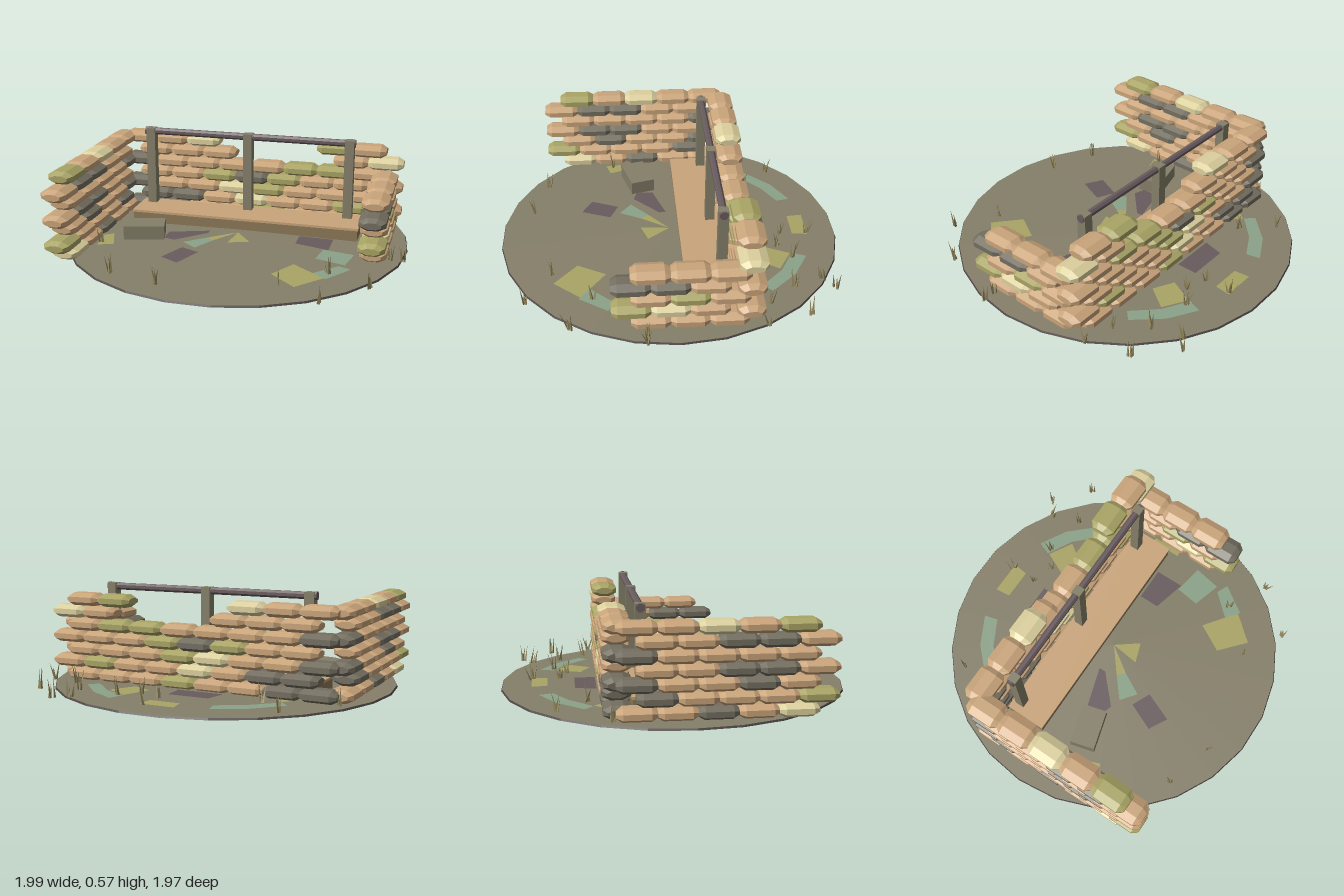
import * as THREE from 'three';

const mat = (name, color, opts = {}) =>
  Object.assign(new THREE.MeshStandardMaterial({ color, flatShading: true, ...opts }), { name });

export function createModel() {
  const M = {
    tan: mat('tan burlap', 0xc9a47a),
    cream: mat('cream burlap', 0xdcd09e),
    olive: mat('olive', 0xa9a465),
    dark: mat('dark grey burlap', 0x736e60),
    earth: mat('earth and weathered wood', 0x857f69),
    base: mat('dark soil', 0x4e4646),
    sage: mat('sage', 0x8ba288),
    plum: mat('plum brown', 0x685b5e),
    grass: mat('dry grass', 0x968a60, { side: THREE.DoubleSide }),
    plank: mat('brown plank', 0x8c7856),
  };
  const group = new THREE.Group();
  const add = (name, geo, material, x = 0, y = 0, z = 0, parent = group) => {
    const m = new THREE.Mesh(geo, material);
    m.name = name;
    m.position.set(x, y, z);
    parent.add(m);
    return m;
  };
  const sub = (name) => {
    const g = new THREE.Group();
    g.name = name;
    group.add(g);
    return g;
  };
  let seed = 7;
  const rnd = () => (seed = (seed * 16807) % 2147483647) / 2147483647 - 0.5;

  // Ground disc: dark slab with a very low dome of earth on top
  add('groundSlab', new THREE.CylinderGeometry(0.985, 0.99, 0.01, 26, 1, false, Math.PI / 2), M.base, -0.01, 0.005, 0);
  add('groundTop', new THREE.ConeGeometry(0.985, 0.013, 26, 1, true, Math.PI / 2), M.earth, -0.01, 0.0165, 0);

  // Coloured ground patches, outlines as x, z pairs
  const patches = sub('groundPatches');
  const patch = (material, ...p) => {
    const pts = [];
    for (let i = 0; i < p.length; i += 2) pts.push(new THREE.Vector2(p[i], -p[i + 1]));
    const geo = new THREE.ShapeGeometry(new THREE.Shape(pts)).rotateX(-Math.PI / 2);
    const a = geo.attributes.position;
    for (let i = 0; i < a.count; i++) a.setY(i, 0.0255 - 0.0132 * Math.hypot(a.getX(i) + 0.01, a.getZ(i)));
    geo.computeVertexNormals();
    add('groundPatch', geo, material, 0, 0, 0, patches);
  };
  patch(M.olive, -0.11, -0.815, 0.09, -0.815, 0.08, -0.725, -0.1, -0.725);
  patch(M.olive, 0.27, -0.68, 0.41, -0.6, 0.32, -0.47, 0.2, -0.53);
  patch(M.olive, -0.55, -0.48, -0.6, -0.42, -0.5, -0.42);
  patch(M.olive, -0.72, 0.18, -0.66, 0.34, -0.75, 0.37, -0.77, 0.21);
  patch(M.olive, -0.01, 0, -0.16, 0.12, -0.12, 0.16);
  patch(M.olive, -0.01, 0, -0.03, 0.17, 0.09, 0.13);
  patch(M.olive, 0.4, 0.38, 0.59, 0.52, 0.46, 0.67, 0.31, 0.54);
  patch(M.olive, 0.71, -0.18, 0.74, -0.18, 0.74, 0, 0.71, 0);
  patch(M.sage, -0.61, -0.53, -0.46, -0.68, -0.29, -0.77, -0.27, -0.69, -0.42, -0.61, -0.56, -0.48);
  patch(M.sage, 0.6, -0.53, 0.46, -0.68, 0.3, -0.77, 0.27, -0.69, 0.42, -0.61, 0.55, -0.48);
  patch(M.sage, -0.16, 0.12, -0.12, 0.16, -0.19, 0.29, -0.28, 0.22);
  patch(M.sage, 0.52, 0.13, 0.7, 0.16, 0.67, 0.32, 0.5, 0.27);
  patch(M.sage, 0.64, 0.34, 0.71, 0.37, 0.6, 0.53, 0.52, 0.47);
  patch(M.plum, -0.18, -0.57, 0.06, -0.57, 0.06, -0.45, -0.21, -0.45);
  patch(M.plum, -0.41, 0.08, -0.18, 0.01, -0.18, 0.05, -0.34, 0.2, -0.41, 0.18);
  patch(M.plum, -0.26, 0.3, -0.15, 0.35, -0.22, 0.52, -0.33, 0.46);
  patch(M.plum, 0.35, -0.04, 0.55, -0.04, 0.55, 0.13, 0.35, 0.08);

  // Sandbag: an octagonal bar along x whose end rings are pinched
  const bag = new THREE.CylinderGeometry(1, 1, 1, 8, 3).rotateY(Math.PI / 8).rotateZ(Math.PI / 2);
  const bp = bag.attributes.position;
  for (let i = 0; i < bp.count; i++) {
    const x = bp.getX(i), end = Math.abs(x) > 0.4;
    bp.setXYZ(i,
      Math.sign(x) * (end ? 0.105 : 0.072),
      bp.getY(i) * 0.039 * (end ? 0.5 : 1),
      bp.getZ(i) * 0.08 * (end ? 0.66 : 1));
  }
  bag.computeVertexNormals();

  // Walls: one string per course from the bottom up, '-' leaves a gap
  const kinds = { t: M.tan, c: M.cream, o: M.olive, d: M.dark };
  const PITCH = 0.204;
  const wall = (name, rows, start, place, turn) => {
    const g = sub(name);
    rows.forEach((row, r) => [...row].forEach((k, i) => {
      if (k === '-') return;
      const s = start + PITCH * (i + 0.5) + (r % 2) * 0.102;
      const [x, z] = place(s);
      const b = add('sandbag', bag, kinds[k], x, 0.046 + r * 0.0722, z, g);
      b.rotation.y = turn + rnd() * 0.03;
    }));
  };
  wall('backWall', [
    'ddttottt',
    'ddtcttot',
    'dttcottt',
    'ttodottt',
    'dttttoot',
    'ttt---tc',
    'ttc---ot',
  ], -0.83, (s) => [s, -0.37], 0);
  wall('rightWall', [
    'ttdtc',
    'dttto',
    'dttdt',
    'ttddt',
    'dtttt',
    'ttddt',
    'ttcto',
  ], -0.38, (s) => [-0.83, s], Math.PI / 2);
  wall('leftWall', [
    'ttt',
    'tco',
    'tot',
    'tdd',
    'ttt',
  ], -0.362, (s) => [0.807, s], Math.PI / 2);

  // Firing step: tan board on a brown base
  add('stepBase', new THREE.BoxGeometry(1.37, 0.066, 0.23), M.plank, 0, 0.047, -0.17);
  add('stepBoard', new THREE.BoxGeometry(1.38, 0.014, 0.24), M.tan, 0, 0.086, -0.17);

  // Posts, and the rail through their tops with a collar at each end
  for (const x of [-0.62, -0.01, 0.6]) {
    add('post', new THREE.BoxGeometry(0.054, 0.547, 0.054), M.earth, x, 0.2935, -0.24);
  }
  const bar = (r, len) => new THREE.CylinderGeometry(r, r, len, 8).rotateY(Math.PI / 8).rotateZ(Math.PI / 2);
  add('rail', bar(0.021, 1.28), M.plum, -0.0125, 0.547, -0.24);
  for (const x of [-0.6525, 0.6275]) add('railEnd', bar(0.024, 0.012), M.plum, x, 0.547, -0.24);

  // Crate
  add('crate', new THREE.BoxGeometry(0.235, 0.08, 0.145), M.earth, -0.53, 0.06, 0.17).rotation.y = 0.27;

  // Grass tufts
  const blade = new THREE.ConeGeometry(0.008, 1, 3).translate(0, 0.5, 0);
  const grass = sub('grass');
  const tufts = [
    [0.59, -0.88], [0.51, -0.82], [0.79, -0.71], [-0.62, -0.67], [-0.46, -0.51], [0.07, -0.66],
    [0.07, -0.81], [0.19, -0.62], [0.3, -0.69], [0.57, -0.65], [0.69, -0.5], [0.86, -0.46],
    [0.97, 0.17], [0.9, 0.18], [0.83, 0.57], [0.6, 0.45], [0.38, 0.68], [0.62, 0.82],
    [-0.53, 0.73], [-0.24, 0.82], [-0.74, 0.32], [-0.84, -0.4],
  ];
  for (const [x, z] of tufts) {
    for (let i = 0; i < 4; i++) {
      const b = add('grassBlade', blade, M.grass, x + rnd() * 0.025, 0.008, z + rnd() * 0.025, grass);
      b.scale.y = 0.095 + rnd() * 0.06;
      b.rotation.set(rnd() * 0.45, rnd() * 6, rnd() * 0.45);
    }
  }
  return group;
}
